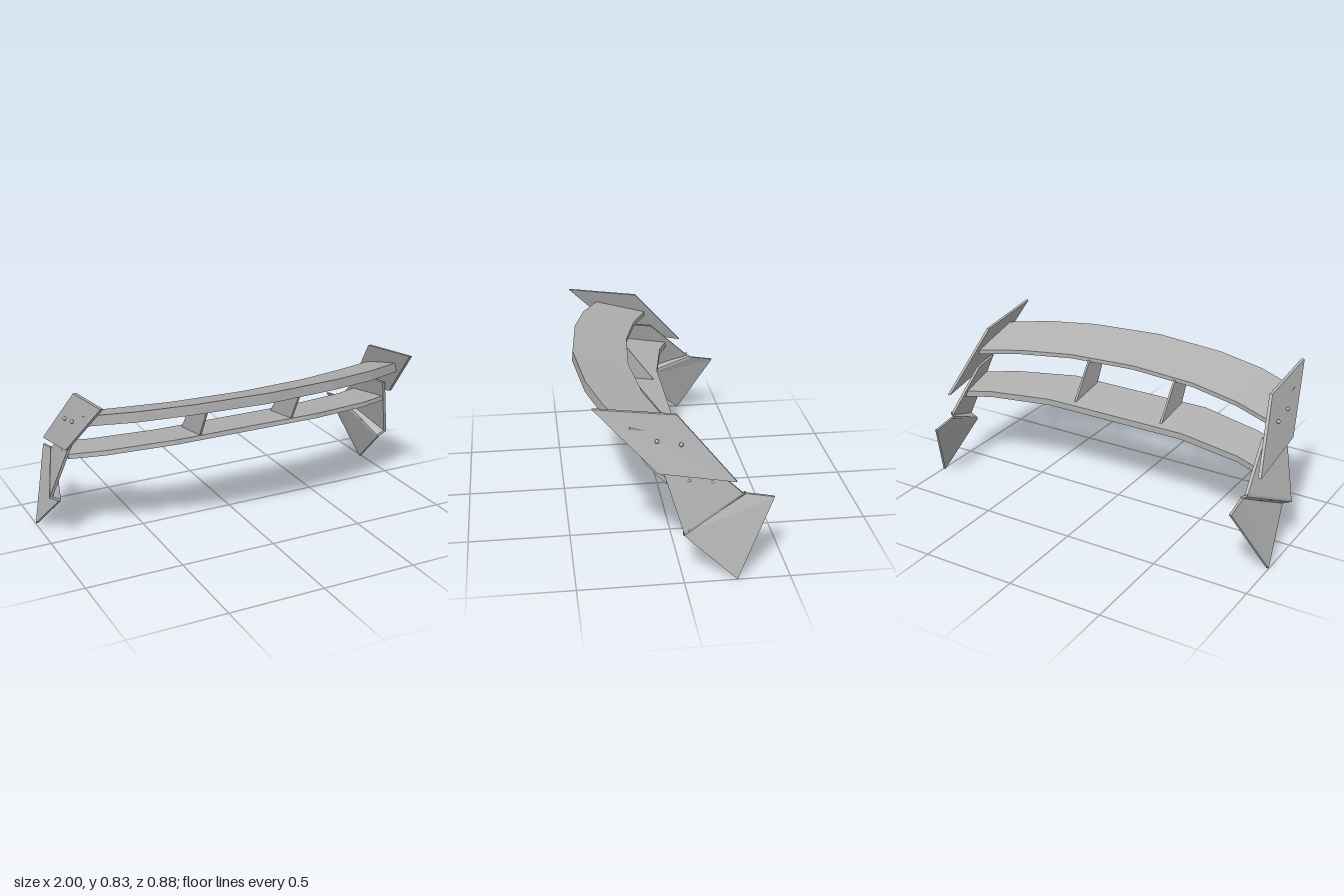
import * as THREE from 'three';

const grey = new THREE.MeshStandardMaterial({ color: 0xb0b0b0 });
grey.name = 'light grey';

// Closed flat-faced solid through four-cornered rings listed by rising x.
// Ring order: front top, front bottom, rear bottom, rear top.
function loft(name, rings) {
  const pos = [];
  const quad = (a, b, c, d) => pos.push(...a, ...b, ...c, ...a, ...c, ...d);
  for (let s = 0; s < rings.length - 1; s++) {
    const a = rings[s], b = rings[s + 1];
    for (let i = 0; i < 4; i++) {
      const j = (i + 1) % 4;
      quad(a[i], a[j], b[j], b[i]);
    }
  }
  const first = rings[0], last = rings[rings.length - 1];
  quad(...last);
  quad(first[3], first[2], first[1], first[0]);
  const geo = new THREE.BufferGeometry();
  geo.setAttribute('position', new THREE.Float32BufferAttribute(pos, 3));
  geo.computeVertexNormals();
  const mesh = new THREE.Mesh(geo, grey);
  mesh.name = name;
  return mesh;
}

const mirrorRing = (ring) => ring.map(([x, y, z]) => [-x, y, z]);

// Inner and outer rings of a part on one side (1 = left, -1 = right)
function sidePart(name, side, inner, outer) {
  return loft(name, side > 0 ? [inner, outer] : [mirrorRing(outer), mirrorRing(inner)]);
}

// Thin plate from its outer corners
function plate(name, side, corners, thickness) {
  return sidePart(name, side, corners.map(([x, y, z]) => [x - thickness, y, z]), corners);
}

// Swept blade from half-span stations:
// [front x, rear x, front z, front top y, front bottom y, rear z, rear top y, rear bottom y]
function blade(name, stations) {
  const half = stations.map(([xf, xr, zf, yft, yfb, zr, yrt, yrb]) => [
    [xf, yft, zf], [xf, yfb, zf + 0.004], [xr, yrb, zr], [xr, yrt, zr],
  ]);
  const left = half[0][0][0] === 0 ? half.slice(1) : half;
  return loft(name, [...left.map(mirrorRing).reverse(), ...half]);
}

export function createModel() {
  const model = new THREE.Group();
  model.name = 'rearWing';

  model.add(blade('upperBlade', [
    [0, 0, 0.433, 0.785, 0.732, 0.15, 0.702, 0.68],
    [0.39, 0.37, 0.397, 0.778, 0.727, 0.12, 0.698, 0.676],
    [0.65, 0.65, 0.333, 0.766, 0.714, 0.05, 0.688, 0.665],
    [0.875, 0.87, 0.235, 0.748, 0.698, -0.035, 0.672, 0.648],
  ]));
  model.add(blade('lowerBlade', [
    [0.4, 0.4, 0.214, 0.532, 0.508, -0.05, 0.492, 0.458],
    [0.74, 0.74, 0.14, 0.512, 0.488, -0.11, 0.482, 0.45],
    [0.908, 0.876, 0.07, 0.497, 0.474, -0.163, 0.475, 0.443],
  ]));

  for (const side of [1, -1]) {
    const tag = side > 0 ? 'left' : 'right';

    // Strut between the blades
    model.add(plate(tag + 'Strut', side, [
      [0.265, 0.712, 0.3], [0.265, 0.522, 0.2], [0.265, 0.49, -0.02], [0.265, 0.685, 0.125],
    ], 0.011));

    // Leaning end plates and the folded foot
    model.add(plate(tag + 'UpperEndPlate', side, [
      [0.852, 0.835, 0.4], [0.935, 0.54, 0.113], [0.932, 0.473, -0.25], [0.85, 0.787, 0.02],
    ], 0.016));
    model.add(plate(tag + 'MiddleEndPlate', side, [
      [0.897, 0.59, 0.105], [0.995, 0.25, 0], [0.885, 0.385, -0.29], [0.862, 0.59, -0.07],
    ], 0.016));
    model.add(sidePart(tag + 'Fold', side,
      [[0.936, 0.235, 0], [0.936, 0.22, 0], [0.856, 0.37, -0.305], [0.856, 0.385, -0.305]],
      [[0.995, 0.262, 0], [0.995, 0.248, 0], [0.885, 0.384, -0.29], [0.885, 0.398, -0.29]]));
    model.add(plate(tag + 'LowerEndPlate', side, [
      [0.948, 0.225, 0], [1, 0, -0.25], [0.876, 0.355, -0.44], [0.87, 0.378, -0.305],
    ], 0.013));

    // Bolts on the outside of the plates
    const bolts = [[0.895, 0.683, 0.115], [0.895, 0.66, 0.005], [0.9, 0.48, -0.03], [0.884, 0.457, -0.14]];
    for (const [x, y, z] of bolts) {
      const bolt = new THREE.Mesh(new THREE.SphereGeometry(0.01, 12, 8), grey);
      bolt.name = tag + 'Bolt';
      bolt.position.set(side * x, y, z);
      model.add(bolt);
    }
  }
  return model;
}
